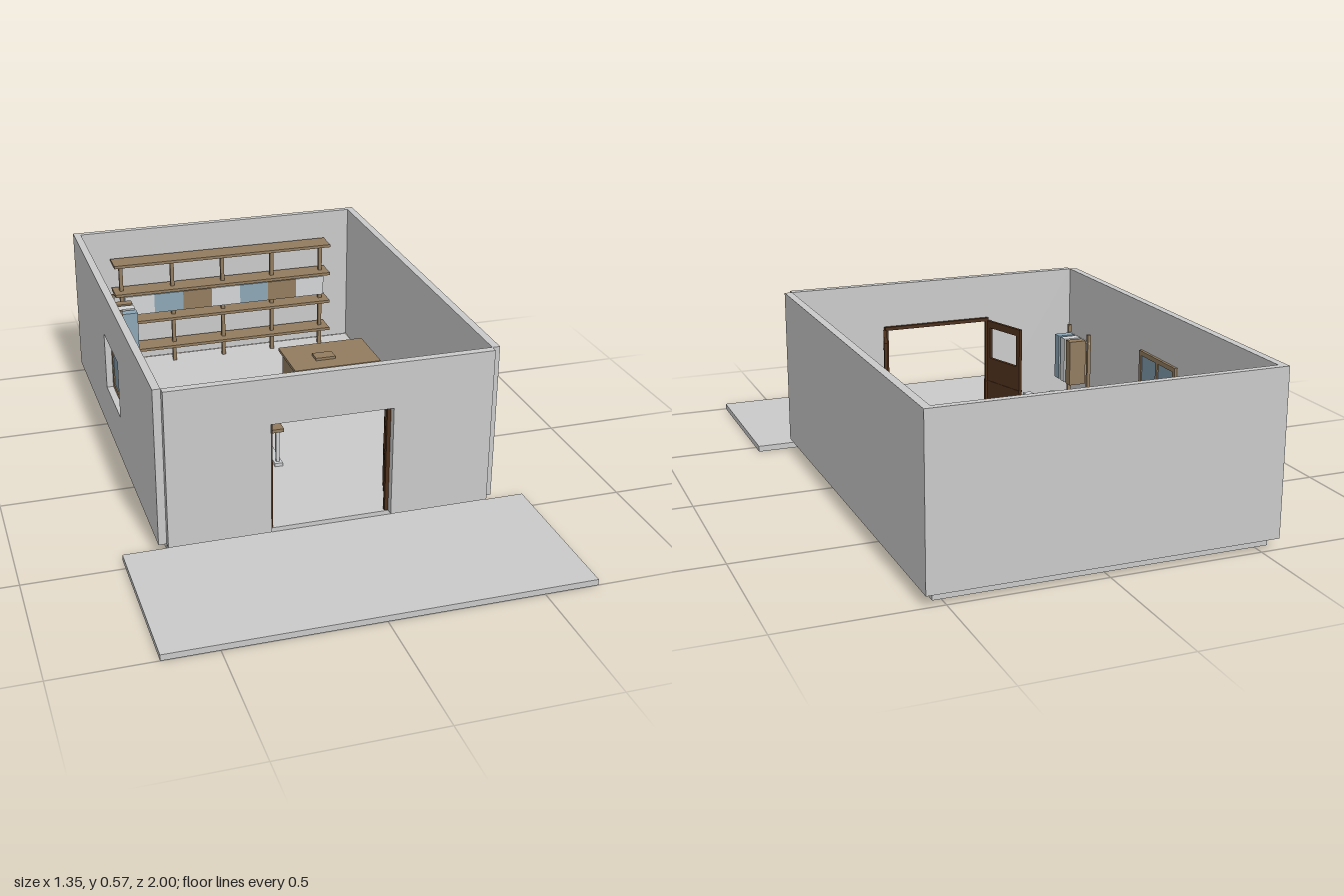
import * as THREE from 'three';

const mat = (name, color) => {
  const m = new THREE.MeshStandardMaterial({ color });
  m.name = name;
  return m;
};

export function createModel() {
  const plaster = mat('plaster grey', 0xcacaca);
  const wood = mat('wood brown', 0x927c5f);
  const darkWood = mat('dark door wood', 0x4c2f1a);
  const glass = mat('glass blue', 0x7f9bac);
  const cloth = mat('pale cloth', 0xd2d4d5);
  const blue = mat('blue cloth', 0x8ca6b6);
  const metal = mat('pale metal', 0xcdd0d2);

  const model = new THREE.Group();
  model.name = 'workshopRoom';
  const group = (name, parent = model) => {
    const g = new THREE.Group();
    g.name = name;
    parent.add(g);
    return g;
  };
  // Box given by its limits on each axis
  const box = (parent, name, m, x0, x1, y0, y1, z0, z1) => {
    const mesh = new THREE.Mesh(new THREE.BoxGeometry(x1 - x0, y1 - y0, z1 - z0), m);
    mesh.position.set((x0 + x1) / 2, (y0 + y1) / 2, (z0 + z1) / 2);
    mesh.name = name;
    parent.add(mesh);
    return mesh;
  };

  // Slabs
  box(model, 'frontTerrace', plaster, -0.675, 0.675, 0, 0.02, 0.45, 1);
  box(model, 'floor', plaster, -0.533, 0.533, 0.008, 0.035, -0.975, 0.45);

  // Walls, open at the top
  const Y0 = 0.035, Y1 = 0.57;
  const walls = group('walls');
  box(walls, 'backWall', plaster, -0.56, 0.56, Y0, Y1, -1, -0.977);
  box(walls, 'leftWall', plaster, 0.534, 0.56, Y0, Y1, -0.977, 0.45);
  box(walls, 'rightWallBack', plaster, -0.56, -0.534, Y0, Y1, -0.977, -0.39);
  box(walls, 'rightWallFront', plaster, -0.56, -0.534, Y0, Y1, -0.14, 0.45);
  box(walls, 'wallBelowWindow', plaster, -0.56, -0.534, Y0, 0.2, -0.39, -0.14);
  box(walls, 'wallAboveWindow', plaster, -0.56, -0.534, 0.405, Y1, -0.39, -0.14);
  for (const s of [-1, 1]) {
    box(walls, 'frontWallSide', plaster, Math.min(s * 0.2, s * 0.534), Math.max(s * 0.2, s * 0.534), Y0, Y1, 0.448, 0.475);
  }
  box(walls, 'wallAboveDoor', plaster, -0.2, 0.2, 0.415, Y1, 0.448, 0.475);

  // Side window with two panes
  const win = group('sideWindow');
  for (const z of [-0.39, -0.273, -0.156]) box(win, 'windowUpright', wood, -0.537, -0.524, 0.2, 0.405, z, z + 0.016);
  for (const y of [0.2, 0.389]) box(win, 'windowRail', wood, -0.537, -0.524, y, y + 0.016, -0.39, -0.14);
  box(win, 'windowPane', glass, -0.533, -0.528, 0.21, 0.395, -0.38, -0.15);

  // Door frame
  const frame = group('doorFrame');
  for (const s of [-1, 1]) box(frame, 'doorPost', darkWood, s * 0.194 - 0.006, s * 0.194 + 0.006, Y0, 0.415, 0.434, 0.448);
  box(frame, 'doorLintel', darkWood, -0.2, 0.2, 0.403, 0.415, 0.434, 0.448);

  // Two leaves swung inwards, each built along -z from its hinge
  for (const s of [-1, 1]) {
    const leaf = group(s > 0 ? 'leftDoorLeaf' : 'rightDoorLeaf');
    const L = 0.185, t = 0.006;
    box(leaf, 'leafPanel', darkWood, -t, t, 0, 0.23, -L, 0);
    for (const z of [-L, -0.018]) box(leaf, 'leafStile', darkWood, -t, t, 0.23, 0.37, z, z + 0.018);
    box(leaf, 'leafTopRail', darkWood, -t, t, 0.345, 0.37, -L + 0.018, -0.018);
    box(leaf, 'leafMiddleRail', darkWood, -t - 0.002, t + 0.002, 0.135, 0.142, -L, 0);
    const pane = new THREE.Mesh(new THREE.PlaneGeometry(L - 0.036, 0.115), glass);
    pane.name = 'leafPane';
    pane.rotation.y = s * Math.PI / 2;
    pane.position.set(0, 0.2875, -L / 2);
    leaf.add(pane);
    leaf.position.set(s * 0.2, Y0, 0.438);
    leaf.rotation.y = -s * 0.3;
  }

  // Long shelf unit on the back wall with hanging cloths
  const shelves = group('shelfUnit');
  for (const y of [0.104, 0.222, 0.34, 0.457]) box(shelves, 'shelfBoard', wood, -0.43, 0.43, y, y + 0.011, -0.96, -0.875);
  for (let i = -2; i <= 2; i++) box(shelves, 'shelfPost', wood, i * 0.2 - 0.007, i * 0.2 + 0.007, Y0, 0.457, -0.925, -0.911);
  const tones = [cloth, blue, wood];
  for (let k = -3; k <= 3; k++) {
    const x = 0.005 + k * 0.114;
    box(shelves, 'foldedCloth', tones[(k + 3) % 3], x - 0.057, x + 0.057, 0.26, 0.336, -0.905, -0.88);
  }

  // Garment racks along the right wall
  for (const z of [-0.77, 0.12]) {
    const rack = group('garmentRack');
    for (const d of [0, 0.163]) box(rack, 'rackPost', wood, -0.467, -0.455, Y0, 0.4, z + d, z + d + 0.012);
    box(rack, 'rackRail', metal, -0.464, -0.457, 0.365, 0.373, z, z + 0.175);
    [wood, cloth, blue].forEach((m, i) => {
      const z0 = z + 0.02 + i * 0.048;
      box(rack, 'garment', m, -0.456, -0.395, 0.215, 0.375, z0, z0 + 0.034);
    });
  }

  // Counter with a small box on top
  const counter = group('counter');
  box(counter, 'counterBody', wood, 0.132, 0.438, Y0, 0.19, -0.533, -0.337);
  box(counter, 'counterTop', wood, 0.12, 0.45, 0.19, 0.202, -0.545, -0.325);
  box(counter, 'counterBox', wood, 0.22, 0.295, 0.202, 0.212, -0.44, -0.39);

  // Treadle table
  const table = group('treadleTable');
  box(table, 'tableTop', wood, -0.41, -0.04, 0.171, 0.183, -0.14, 0.072);
  box(table, 'drawer', wood, -0.335, -0.115, 0.1, 0.165, -0.02, 0.085);
  for (const x of [-0.395, -0.055]) {
    for (const z of [-0.115, 0.035]) box(table, 'tableLeg', metal, x - 0.006, x + 0.006, 0.045, 0.171, z, z + 0.012);
    box(table, 'tableFoot', metal, x - 0.014, x + 0.014, Y0, 0.047, -0.13, 0.06);
  }
  box(table, 'crossBar', metal, -0.39, -0.06, 0.062, 0.07, -0.04, -0.03);
  box(table, 'treadle', blue, -0.29, -0.16, 0.076, 0.082, -0.09, 0.02);

  // Sewing machine
  const machine = group('sewingMachine');
  box(machine, 'machineBase', metal, -0.28, -0.13, 0.183, 0.193, -0.085, 0.005);
  box(machine, 'machinePillar', metal, -0.172, -0.145, 0.193, 0.262, -0.06, -0.02);
  box(machine, 'machineArm', metal, -0.25, -0.172, 0.23, 0.255, -0.058, -0.022);
  box(machine, 'machineHead', metal, -0.262, -0.24, 0.212, 0.258, -0.055, -0.025);
  box(machine, 'needleBar', metal, -0.254, -0.248, 0.193, 0.212, -0.043, -0.037);
  const shaft = new THREE.Mesh(new THREE.CylinderGeometry(0.008, 0.003, 0.045, 8), metal);
  shaft.name = 'machineSpindle';
  shaft.rotation.z = -Math.PI / 2;
  shaft.position.set(-0.284, 0.242, -0.04);
  machine.add(shaft);

  return model;
}
